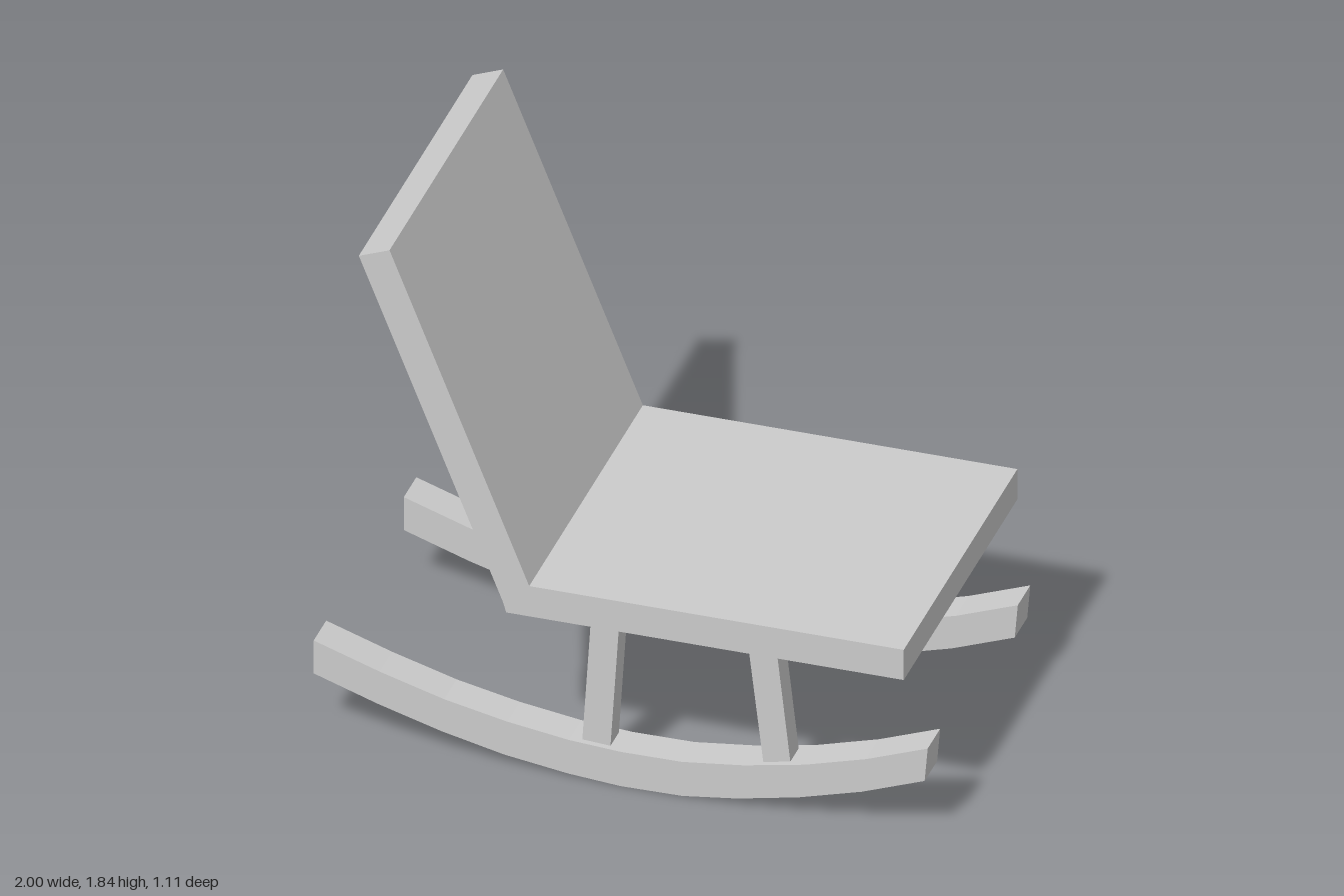
import * as THREE from 'three';

const material = new THREE.MeshStandardMaterial({ color: 0xcccccc, flatShading: true });

// Extrudes a side profile (x, y) across z from z0 to z1
function slab(name, points, z0, z1) {
  const shape = new THREE.Shape(points.map(([x, y]) => new THREE.Vector2(x, y)));
  const geometry = new THREE.ExtrudeGeometry(shape, { depth: z1 - z0, bevelEnabled: false });
  geometry.translate(0, 0, z0);
  const mesh = new THREE.Mesh(geometry, material);
  mesh.name = name;
  return mesh;
}

export function createModel() {
  const chair = new THREE.Group();
  chair.name = 'rockingChair';

  // Seat and reclined backrest, sharing the corner where they meet
  chair.add(slab('seat', [[-0.355, 0.595], [0.94, 0.605], [0.94, 0.715], [-0.28, 0.706], [-0.365, 0.63]], -0.555, 0.555));
  chair.add(slab('backrest', [[-0.365, 0.63], [-0.28, 0.706], [-0.735, 1.84], [-0.835, 1.8]], -0.555, 0.555));

  // Curved rocker: lower edge, then upper edge back again
  const lower = [[-1, 0.213], [-0.79, 0.143], [-0.585, 0.085], [-0.38, 0.04], [-0.17, 0.012], [0, 0],
    [0.2, 0.004], [0.38, 0.03], [0.58, 0.074], [0.785, 0.135], [0.99, 0.215]];
  const upper = [[1, 0.335], [0.8, 0.257], [0.6, 0.197], [0.4, 0.155], [0.2, 0.128], [0, 0.125],
    [-0.17, 0.135], [-0.37, 0.162], [-0.575, 0.203], [-0.785, 0.262], [-1, 0.333]];

  // Each side: one rocker and two splayed legs running from rocker to seat
  for (const [side, rockerZ, legZ] of [['left', -0.44, -0.418], ['right', 0.44, 0.44]]) {
    const group = new THREE.Group();
    group.name = side + 'Support';
    group.add(slab('rocker', [...lower, ...upper], rockerZ - 0.061, rockerZ + 0.061));
    group.add(slab('backLeg', [[-0.133, 0.11], [-0.041, 0.11], [-0.009, 0.62], [-0.101, 0.62]], legZ - 0.041, legZ + 0.041));
    group.add(slab('frontLeg', [[0.461, 0.14], [0.551, 0.14], [0.497, 0.62], [0.404, 0.62]], legZ - 0.041, legZ + 0.041));
    chair.add(group);
  }
  return chair;
}
